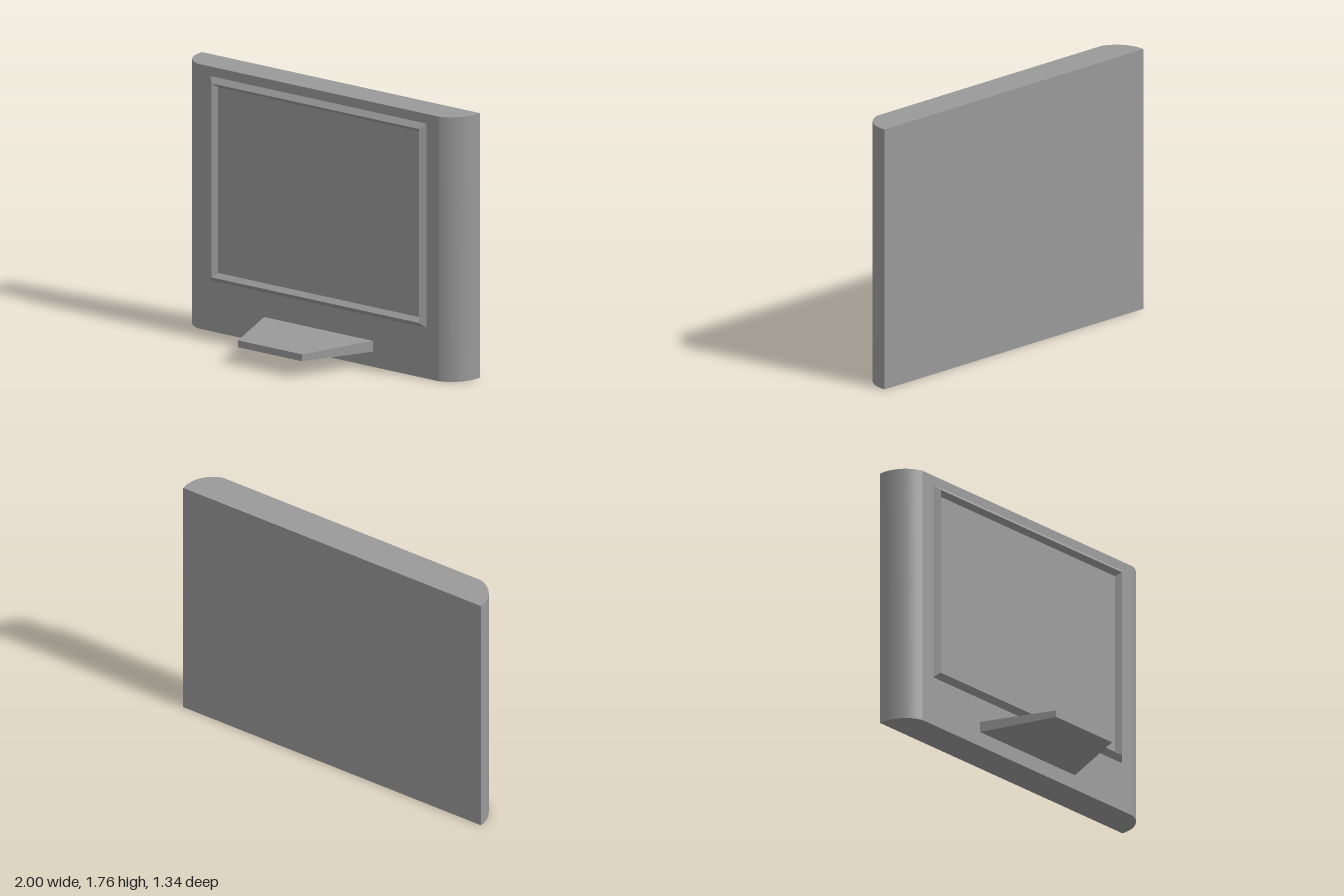
import * as THREE from 'three';
import { toCreasedNormals } from 'three/addons/utils/BufferGeometryUtils.js';

const BACK = -0.085, FRONT = 0.145, HEIGHT = 1.76;

function addPart(group, name, geometry) {
  const material = new THREE.MeshStandardMaterial({ color: 0x9a9a9a });
  const mesh = new THREE.Mesh(geometry, material);
  mesh.name = name;
  group.add(mesh);
}

// Slab with a flat back and a circular arc along each side
function housingGeometry() {
  const cx = 0.927, cz = -0.06, radius = 0.214, steps = 14;
  const start = Math.asin((BACK - cz) / radius), end = Math.asin((FRONT - cz) / radius);
  const right = [];
  for (let i = 0; i <= steps; i++) {
    const t = start + (end - start) * i / steps;
    right.push(new THREE.Vector2(cx + radius * Math.cos(t), -(cz + radius * Math.sin(t))));
  }
  const left = right.map(p => new THREE.Vector2(-p.x, p.y)).reverse();
  const shape = new THREE.Shape([...right, ...left]);
  const geometry = new THREE.ExtrudeGeometry(shape, { depth: HEIGHT, bevelEnabled: false });
  geometry.rotateX(-Math.PI / 2);
  return toCreasedNormals(geometry, 0.2);
}

// Ridge-shaped frame lofted through three nested rectangles
function bezelGeometry() {
  const cy = 1.016;
  const loops = [[0.886, 0.68, FRONT], [0.851, 0.645, FRONT + 0.034], [0.825, 0.618, FRONT]]
    .map(([w, h, z]) => [[-w, cy - h, z], [w, cy - h, z], [w, cy + h, z], [-w, cy + h, z]]);
  const positions = [];
  for (let k = 0; k < 2; k++) {
    const a = loops[k], b = loops[k + 1];
    for (let i = 0; i < 4; i++) {
      const j = (i + 1) % 4;
      positions.push(...a[i], ...a[j], ...b[j], ...a[i], ...b[j], ...b[i]);
    }
  }
  const geometry = new THREE.BufferGeometry();
  geometry.setAttribute('position', new THREE.Float32BufferAttribute(positions, 3));
  geometry.computeVertexNormals();
  return geometry;
}

// Plate that narrows and thins away from the housing
function standGeometry() {
  const geometry = new THREE.BoxGeometry(2, 2, 1).toNonIndexed();
  const p = geometry.attributes.position;
  for (let i = 0; i < p.count; i++) {
    const outer = p.getZ(i) > 0;
    p.setXYZ(i,
      p.getX(i) * (outer ? 0.263 : 0.446),
      0.136 + p.getY(i) * (outer ? 0.023 : 0.036),
      outer ? 0.639 : FRONT);
  }
  geometry.computeVertexNormals();
  return geometry;
}

export function createModel() {
  const model = new THREE.Group();
  model.name = 'monitor';

  // The whole monitor is turned about the vertical axis
  const turned = new THREE.Group();
  turned.name = 'turnedMonitor';
  turned.rotation.y = -0.54;
  turned.position.set(-0.021, 0, -0.012);
  model.add(turned);

  addPart(turned, 'housing', housingGeometry());
  addPart(turned, 'screenBezel', bezelGeometry());
  addPart(turned, 'standPlate', standGeometry());
  return model;
}
